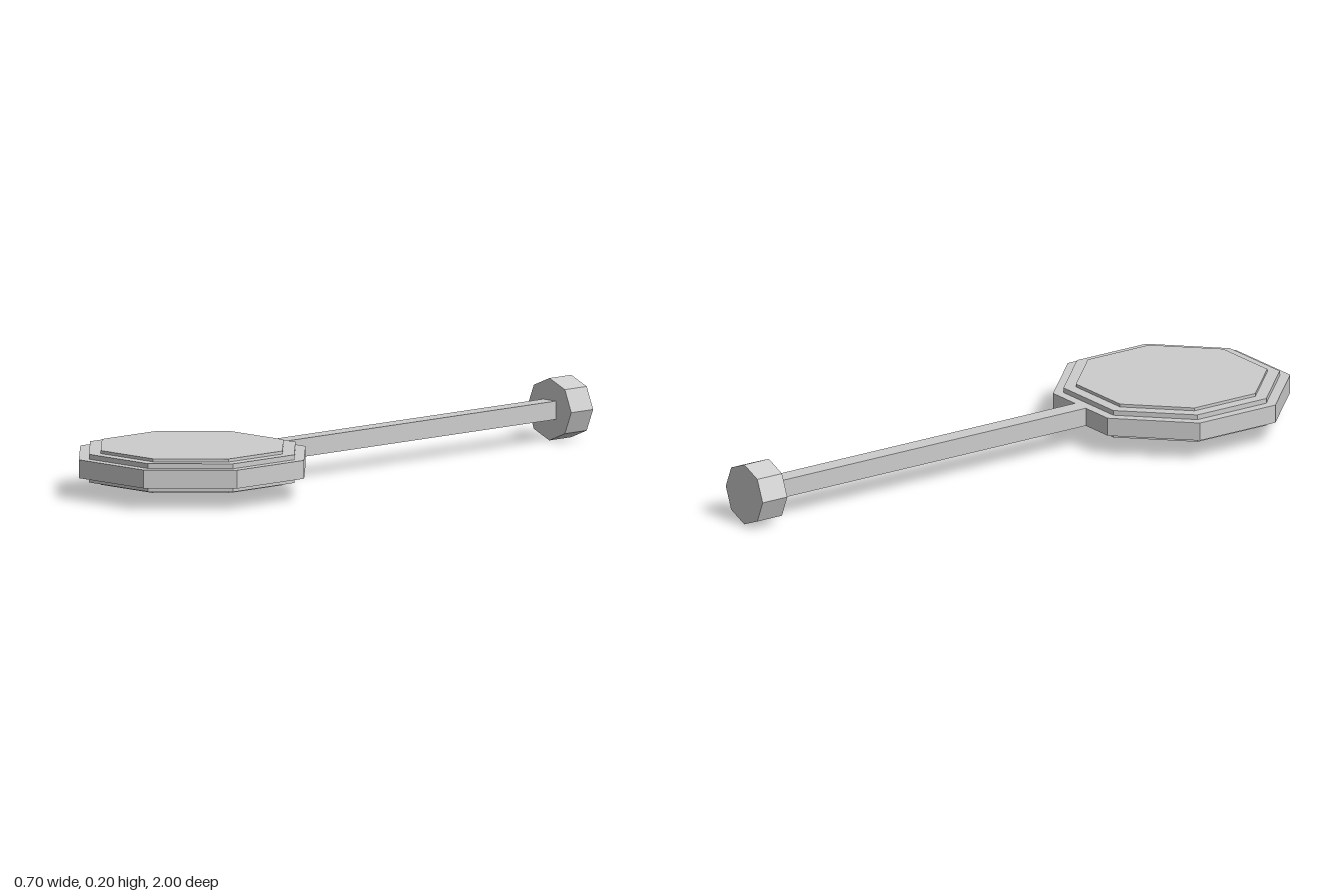
import * as THREE from 'three';

export function createModel() {
  const model = new THREE.Group();
  const grey = new THREE.MeshStandardMaterial({ color: 0xcccccc, flatShading: true });
  grey.name = 'plain grey';

  const MID_Y = 0.0985;  // height of the handle axis
  const HEAD_Z = 0.648;  // centre of the octagonal head

  function add(name, geometry, z) {
    const mesh = new THREE.Mesh(geometry, grey);
    mesh.name = name;
    mesh.position.set(0, MID_Y, z);
    model.add(mesh);
  }

  // Octagonal head: three stacked slabs, flat sides facing front and back
  const slabs = [
    ['headRim', 0.352, 0.058],
    ['headStep', 0.321, 0.089],
    ['headFace', 0.284, 0.108],
  ];
  for (const [name, apothem, height] of slabs) {
    const radius = apothem / Math.cos(Math.PI / 8);
    add(name, new THREE.CylinderGeometry(radius, radius, height, 8).rotateY(Math.PI / 8), HEAD_Z);
  }

  // Square handle from the head to the knob
  const handleFront = HEAD_Z - 0.352, handleBack = -0.905;
  add('handle', new THREE.BoxGeometry(0.058, 0.058, handleFront - handleBack), (handleFront + handleBack) / 2);

  // Octagonal knob with a corner pointing up
  add('knob', new THREE.CylinderGeometry(0.0985, 0.0985, 0.095, 8).rotateX(Math.PI / 2), -0.9525);

  return model;
}
